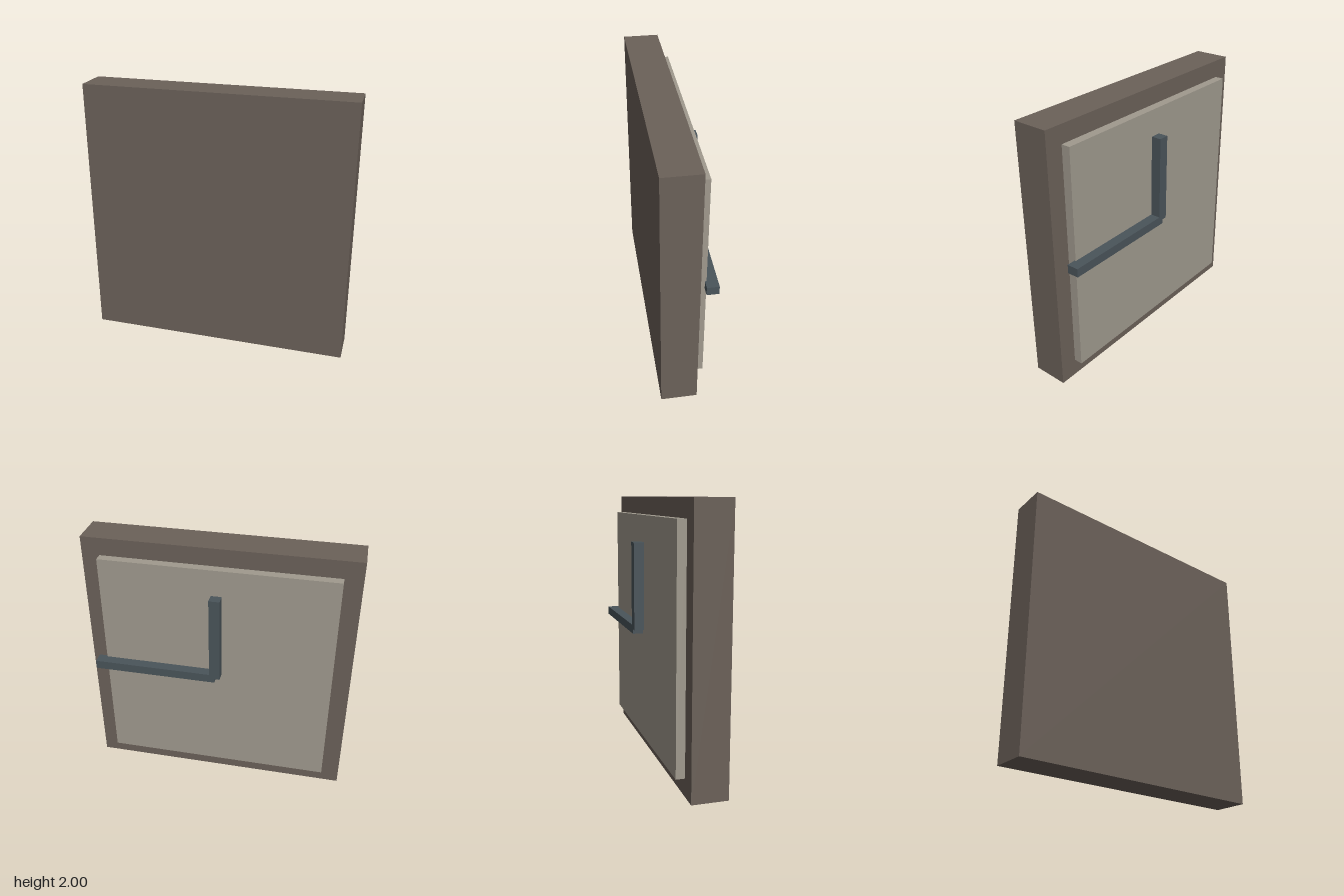
import * as THREE from 'three';

// Box given by its [min, max] extent on each axis
function block(name, color, [x0, x1], [y0, y1], [z0, z1]) {
  const mesh = new THREE.Mesh(
    new THREE.BoxGeometry(x1 - x0, y1 - y0, z1 - z0),
    new THREE.MeshStandardMaterial({ color })
  );
  mesh.position.set((x0 + x1) / 2, (y0 + y1) / 2, (z0 + z1) / 2);
  mesh.name = name;
  return mesh;
}

export function createModel() {
  const group = new THREE.Group();
  group.name = 'wallClock';
  const handColor = 0x4a545a;

  group.add(
    // Thick square case with the dial on its back side
    block('clockCase', 0x6b6159, [-1, 1], [0, 2], [-0.062, 0.205]),
    block('dial', 0xa09a8e, [-0.867, 0.867], [0.133, 1.867], [-0.128, -0.062]),
    // Hands meeting at the dial centre
    block('hourHand', handColor, [-0.04, 0.04], [1, 1.667], [-0.205, -0.125]),
    block('minuteHand', handColor, [0, 0.933], [0.967, 1.033], [-0.205, -0.117])
  );
  return group;
}
